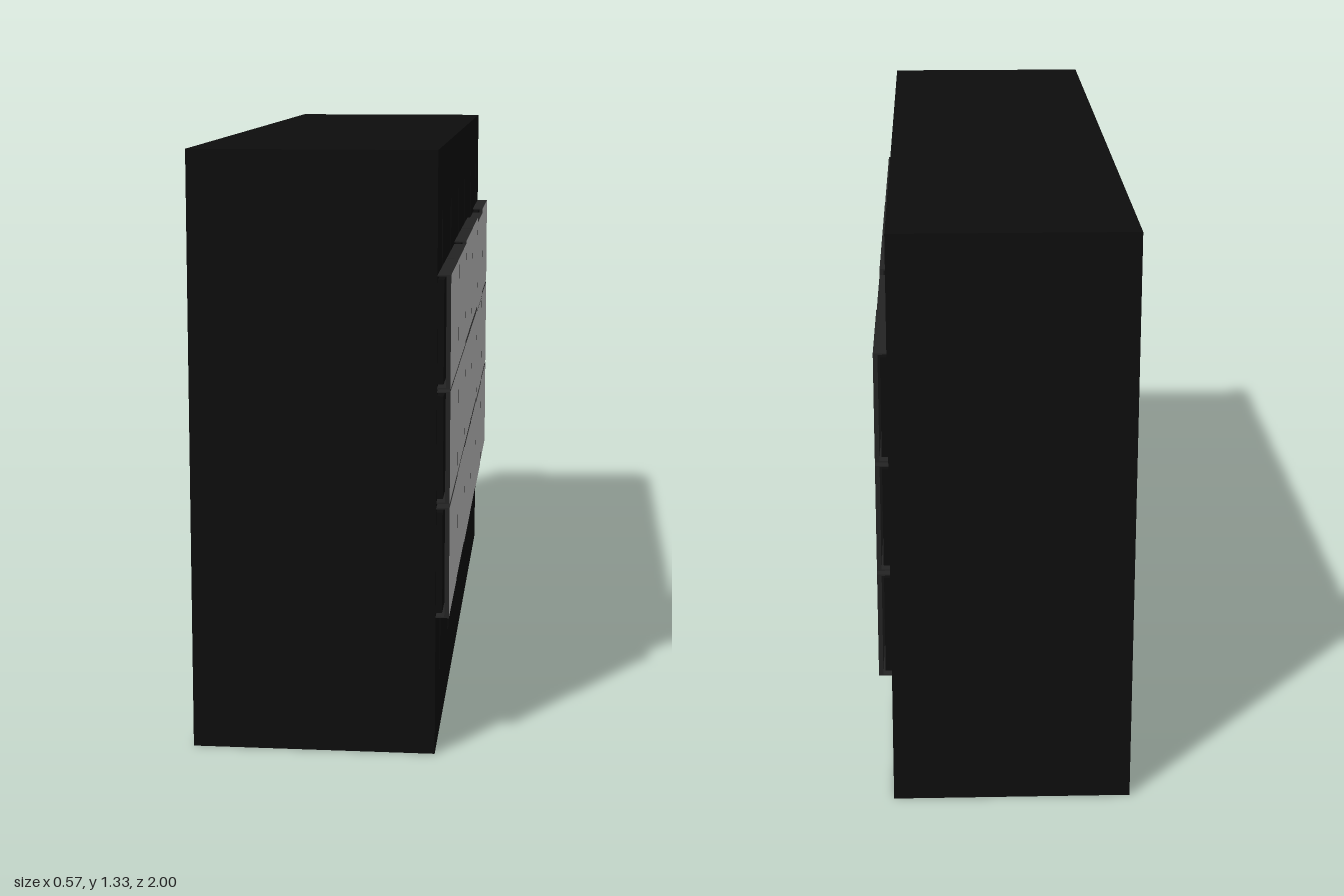
import * as THREE from 'three';

const black = new THREE.MeshStandardMaterial({ color: 0x0d0d0d });
black.name = 'black casing';
const charcoal = new THREE.MeshStandardMaterial({ color: 0x242424 });
charcoal.name = 'charcoal frame';
const lightGrey = new THREE.MeshStandardMaterial({ color: 0xcbcbcb });
lightGrey.name = 'light grey panel';

// Box given by its lower and upper corners
function box(name, [x0, y0, z0], [x1, y1, z1], material) {
  const mesh = new THREE.Mesh(new THREE.BoxGeometry(x1 - x0, y1 - y0, z1 - z0), material);
  mesh.position.set((x0 + x1) / 2, (y0 + y1) / 2, (z0 + z1) / 2);
  mesh.name = name;
  return mesh;
}

const LEFT = -0.285, RIGHT = 0.255, TOP = 1.33, WALL = 0.01;
const columnZ = [0.832, 0.498, 0.166, -0.166, -0.498, -0.832];

// Hollow casing, open underneath, with a slotted wall behind the panels
function createCasing() {
  const casing = new THREE.Group();
  casing.name = 'casing';
  casing.add(
    box('topWall', [LEFT, TOP - WALL, -1], [RIGHT, TOP, 1], black),
    box('plainWall', [LEFT, 0, -1], [LEFT + WALL, TOP - WALL, 1], black),
    box('frontWall', [LEFT + WALL, 0, 1 - WALL], [RIGHT - WALL, TOP - WALL, 1], black),
    box('backWall', [LEFT + WALL, 0, -1], [RIGHT - WALL, TOP - WALL, -1 + WALL], black)
  );

  const rect = (path, x0, y0, x1, y1) =>
    path.moveTo(x0, y0).lineTo(x1, y0).lineTo(x1, y1).lineTo(x0, y1).closePath();
  const shape = rect(new THREE.Shape(), -1, 0, 1, TOP - WALL);
  for (const z of columnZ) {
    shape.holes.push(rect(new THREE.Path(), -z - 0.014, 0.14, -z + 0.014, 1.19));
  }
  const geometry = new THREE.ExtrudeGeometry(shape, { depth: WALL, bevelEnabled: false });
  geometry.rotateY(Math.PI / 2); // shape x becomes -z, depth becomes +x
  const slotted = new THREE.Mesh(geometry, black);
  slotted.position.x = RIGHT - WALL;
  slotted.name = 'slottedWall';
  casing.add(slotted);
  return casing;
}

// One panel: backing block, thin lips and a light-faced plate
function createPanel(y, z) {
  const panel = new THREE.Group();
  panel.name = 'panel';
  const h = 0.1235, w = 0.1645;
  panel.add(
    box('backing', [RIGHT, -0.113, -w + 0.004], [0.269, 0.113, w - 0.004], black),
    box('upperLip', [RIGHT, h - 0.003, -w], [0.274, h, w], charcoal),
    box('lowerLip', [RIGHT, -h, -w], [0.274, -h + 0.003, w], charcoal)
  );
  const plate = box('plate', [0.274, -h, -w], [0.284, h, w],
    [lightGrey, charcoal, charcoal, charcoal, charcoal, charcoal]);
  panel.add(plate);
  panel.position.set(0, y, z);
  return panel;
}

export function createModel() {
  const model = new THREE.Group();
  model.name = 'panelCabinet';
  model.add(createCasing());

  // Slightly uneven row heights in each column
  const rows = [
    [0.942, 0.69, 0.434],
    [0.942, 0.69, 0.438],
    [0.948, 0.69, 0.433],
    [0.948, 0.69, 0.434],
    [0.934, 0.684, 0.428],
    [0.945, 0.69, 0.434],
  ];
  columnZ.forEach((z, i) => rows[i].forEach((y) => model.add(createPanel(y, z))));
  return model;
}
